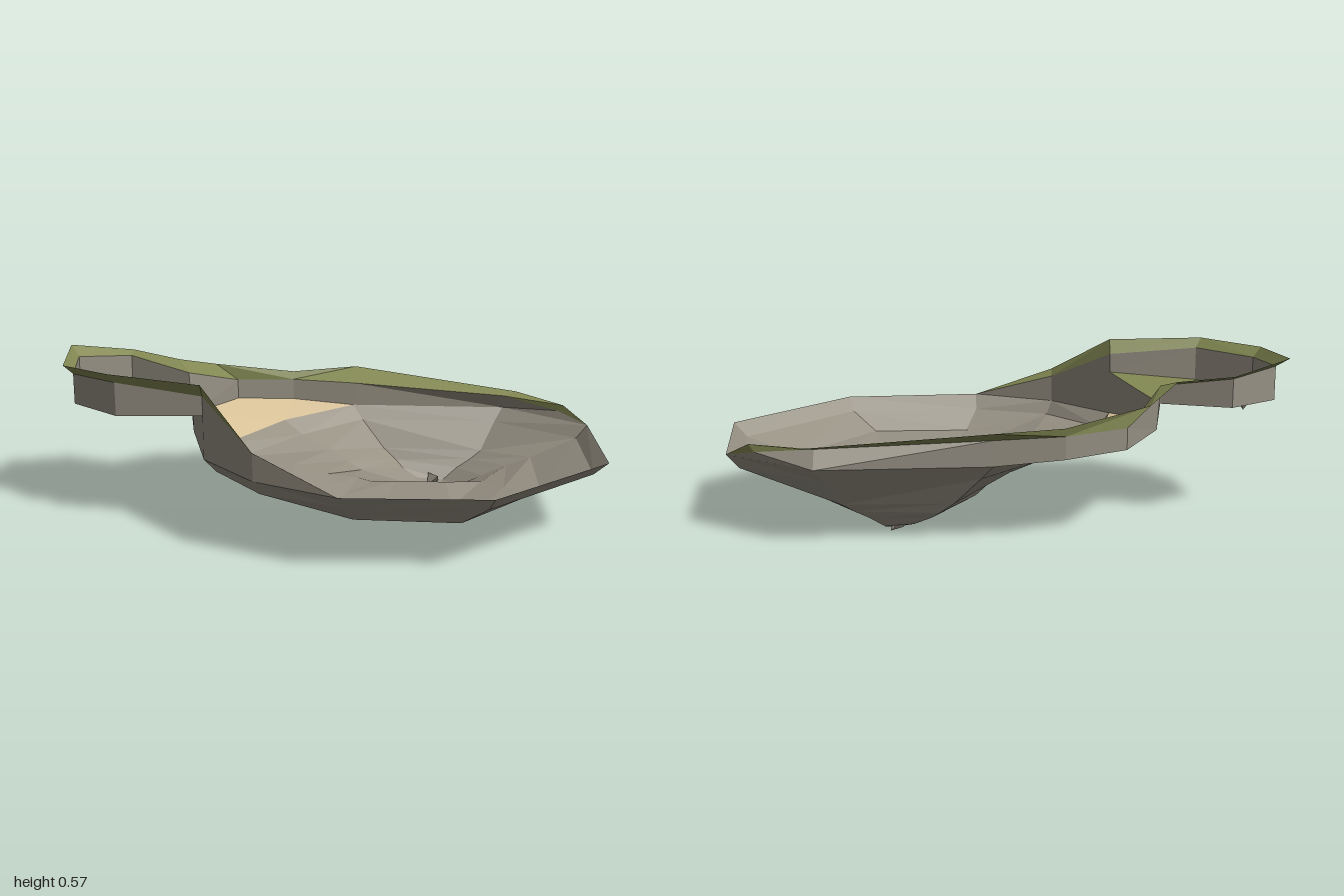
import * as THREE from 'three';

const mat = (name, color) => {
  const m = new THREE.MeshStandardMaterial({ color, flatShading: true, side: THREE.DoubleSide });
  m.name = name;
  return m;
};

// Faceted surface from a list of triangle corners
function surface(name, corners, material) {
  const g = new THREE.BufferGeometry();
  g.setAttribute('position', new THREE.Float32BufferAttribute(corners.flat(), 3));
  g.computeVertexNormals();
  const mesh = new THREE.Mesh(g, material);
  mesh.name = name;
  return mesh;
}

// Joins two rows of points with triangles, skipping collapsed ones
function strip(a, b, closed = false) {
  const out = [];
  const same = (p, q) => p.every((v, i) => v === q[i]);
  const add = (p, q, r) => { if (!same(p, q) && !same(q, r) && !same(p, r)) out.push(p, q, r); };
  const n = a.length;
  for (let i = 0; i < (closed ? n : n - 1); i++) {
    const j = (i + 1) % n;
    if (i % 2) { add(a[i], a[j], b[j]); add(a[i], b[j], b[i]); }
    else { add(a[i], a[j], b[i]); add(a[j], b[j], b[i]); }
  }
  return out;
}

const fan = (row, centre) => strip(row, row.map(() => centre), true);

export function createModel() {
  const group = new THREE.Group();
  const rock = mat('rock', 0x969083);
  const grass = mat('grass', 0x838953);
  const sand = mat('sand', 0xdec79d);

  // Basin rings, from the rim down to the deep pit
  const rim = [[-.41, .28, .25], [-.2, .28, .46], [.1, .28, .585], [.61, .28, .54], [1, .28, .12],
    [.95, .28, -.33], [.63, .28, -.535], [.04, .28, -.5], [-.2, .28, -.26], [-.37, .28, .06]];
  const ledge = [[-.37, .23, .23], [-.18, .23, .44], [.1, .23, .53], [.59, .23, .5], [.95, .23, .1],
    [.91, .23, -.32], [.6, .23, -.5], [.08, .23, -.47], [-.13, .23, -.24], [-.32, .23, .06]];
  const slope = [[-.12, .2, .25], [.0, .17, .37], [.14, .16, .46], [.5, .16, .45], [.77, .16, .1],
    [.74, .16, -.28], [.55, .13, -.43], [.17, .13, -.42], [-.02, .18, -.22], [-.12, .2, .03]];
  const bed = [[.02, .165, .13], [.08, .15, .2], [.22, .138, .25], [.46, .138, .24], [.64, .15, .05],
    [.65, .13, -.26], [.51, .1, -.41], [.22, .09, -.4], [.05, .14, -.21], [.0, .165, .02]];
  const brink = [[.11, .145, -.01], [.16, .143, .02], [.25, .145, .01], [.43, .145, 0], [.56, .125, -.08],
    [.56, .09, -.25], [.46, .07, -.39], [.25, .065, -.375], [.1, .1, -.23], [.09, .135, -.08]];
  const pit = [[.23, .07, -.18], [.26, .065, -.175], [.31, .05, -.18], [.39, .05, -.18], [.44, .045, -.21],
    [.46, .035, -.27], [.41, .03, -.36], [.31, .035, -.35], [.25, .045, -.27], [.23, .06, -.22]];
  const rings = [rim, ledge, slope, bed, brink, pit];
  const basin = [];
  for (let i = 0; i < rings.length - 1; i++) basin.push(...strip(rings[i], rings[i + 1], true));
  basin.push(...fan(pit, [.37, .003, -.28]));
  group.add(surface('basin', basin, rock));

  // Bank: wall foot, wall top and outer grass edge, from the front round the left to the back
  const foot = [[.1, .28, .585], [-.2, .28, .46], [-.41, .28, .25], [-.41, .44, .25], [-.73, .418, .215],
    [-.92, .418, .08], [-.96, .418, -.13], [-.79, .418, -.25], [-.55, .415, -.17], [-.54, .32, -.17],
    [-.41, .315, -.42], [-.2, .3, -.49], [.04, .28, -.5], [.63, .28, -.535], [.84, .28, -.4], [.95, .28, -.33]];
  const top = [[.1, .28, .585], [-.2, .38, .46], [-.41, .51, .25], [-.41, .51, .25], [-.73, .54, .215],
    [-.92, .53, .08], [-.96, .54, -.13], [-.79, .52, -.25], [-.55, .48, -.17], [-.55, .48, -.17],
    [-.41, .39, -.42], [-.2, .38, -.49], [.04, .37, -.5], [.63, .34, -.49], [.84, .31, -.41], [.95, .28, -.33]];
  const edge = [[.1, .28, .585], [-.2, .4, .505], [-.41, .56, .285], [-.41, .56, .285], [-.75, .575, .235],
    [-.95, .565, .1], [-1, .575, -.17], [-.79, .535, -.285], [-.6, .51, -.25], [-.6, .51, -.25],
    [-.49, .46, -.39], [-.2, .41, -.5], [.04, .415, -.59], [.68, .35, -.525], [.86, .335, -.4], [.95, .28, -.33]];
  group.add(surface('bankWall', strip(foot, top), rock));
  group.add(surface('grassBank', strip(top, edge), grass));

  // Raised floor on the left, with a small pointed hollow sunk into it
  const lip = [[-.41, .44, .25], [-.49, .42, .04], [-.55, .415, -.17]];
  const floor = [...foot.slice(3, 9), lip[1]].reverse();
  const mouth = floor.map(([x, , z]) => {
    const d = Math.hypot(x + .86, z + .08);
    return [-.86 + .033 * (x + .86) / d, .418, -.08 + .033 * (z + .08) / d];
  });
  group.add(surface('upperFloor', strip(floor, mouth, true), grass));
  group.add(surface('floorHollow', fan(mouth, [-.86, .37, -.08]), rock));

  // Step down from the raised floor to the sand
  const beachEdge = [foot[2], [-.49, .315, .04], ...foot.slice(9, 13)];
  group.add(surface('stepWall', strip(beachEdge.slice(0, 3), lip), rock));

  // Sand sloping down to the basin
  const shore = [rim[0], rim[9], rim[9], rim[8], rim[8], rim[7]];
  group.add(surface('beach', strip(shore, beachEdge), sand));

  // Stone lodged in the pit
  const stone = new THREE.Mesh(new THREE.TetrahedronGeometry(.035), rock);
  stone.name = 'pitStone';
  stone.position.set(.37, .035, -.34);
  group.add(stone);

  return group;
}
